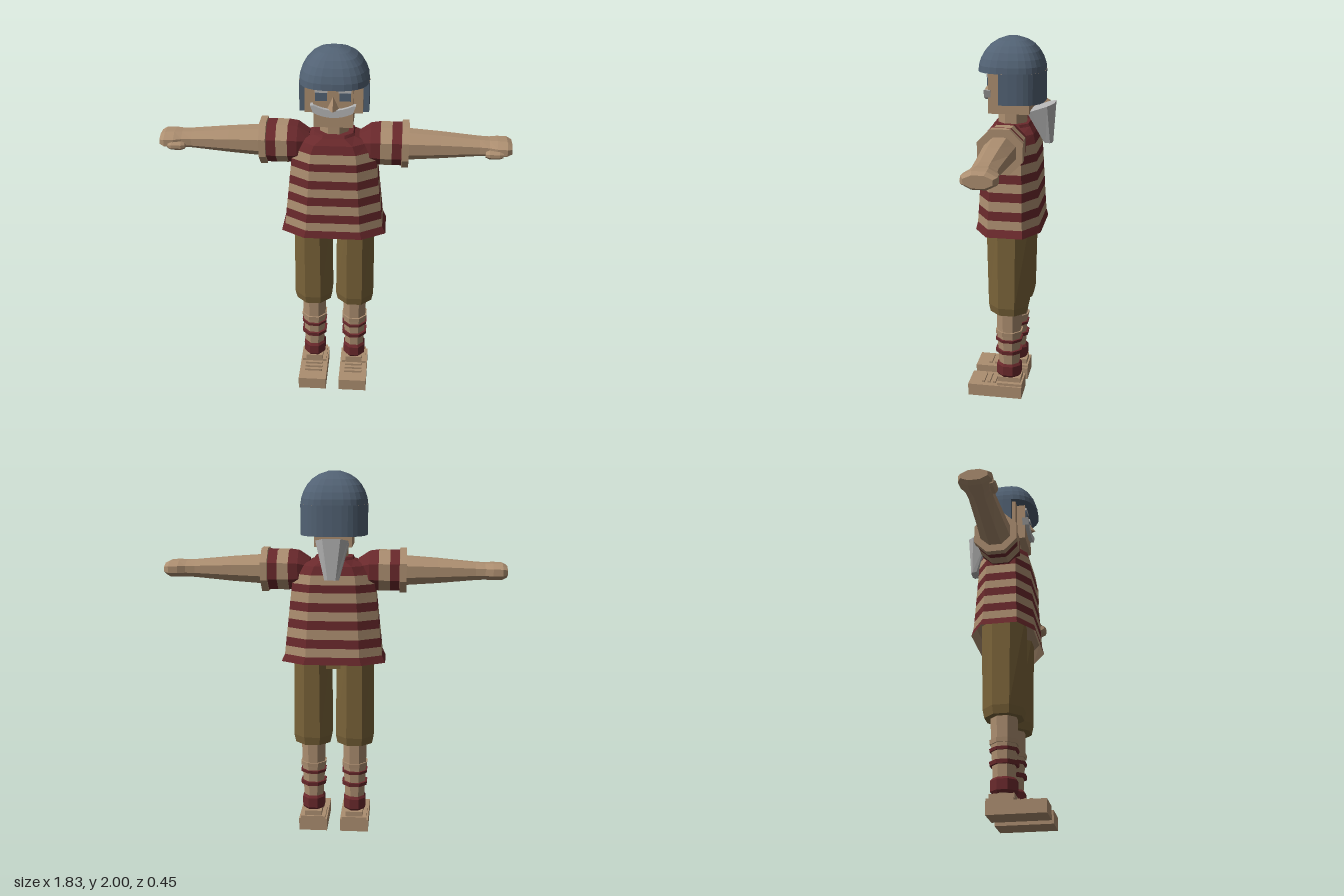
import * as THREE from 'three';

const paint = (name, color) => {
  const m = new THREE.MeshStandardMaterial({ color });
  m.name = name;
  return m;
};

// Eight-sided outline with chamfered corners; c is the half length of each flat side
const octagon = (c) => [[1, -c], [1, c], [c, 1], [-c, 1], [-1, c], [-1, -c], [-c, -1], [c, -1]];

// Point on a rounded square
const rounded = (a, p = 2.7) => [Math.cos(a), Math.sin(a)].map((v) => Math.sign(v) * Math.abs(v) ** (2 / p));

// Stacks scaled outlines along y; rows are [y, rx, rz, material, z offset, tilt]
function loft(name, outline, rows) {
  const rings = rows.map(([y, rx, rz, , cz = 0, tilt = 0]) =>
    outline.map(([x, z]) => [x * rx, y - tilt * z * rz, z * rz + cz]));
  const n = outline.length, pos = [], mats = [];
  const geo = new THREE.BufferGeometry();
  const group = (start, mat) => {
    if (!mats.includes(mat)) mats.push(mat);
    geo.addGroup(start, pos.length / 3 - start, mats.indexOf(mat));
  };
  const cap = (ring, up, row) => {
    const start = pos.length / 3, c = [0, row[0], row[4] || 0];
    for (let j = 0; j < n; j++) {
      const a = ring[j], b = ring[(j + 1) % n];
      pos.push(...c, ...(up ? b : a), ...(up ? a : b));
    }
    group(start, row[3]);
  };
  cap(rings[0], false, rows[0]);
  for (let i = 0; i < rings.length - 1; i++) {
    const start = pos.length / 3;
    for (let j = 0; j < n; j++) {
      const k = (j + 1) % n;
      const a = rings[i][j], b = rings[i][k], c = rings[i + 1][k], d = rings[i + 1][j];
      pos.push(...a, ...d, ...b, ...d, ...c, ...b);
    }
    group(start, rows[i][3]);
  }
  cap(rings.at(-1), true, rows.at(-1));
  geo.setAttribute('position', new THREE.Float32BufferAttribute(pos, 3));
  geo.computeVertexNormals();
  const mesh = new THREE.Mesh(geo, mats);
  mesh.name = name;
  return mesh;
}

function box(name, mat, w, h, d, x, y, z) {
  const mesh = new THREE.Mesh(new THREE.BoxGeometry(w, h, d), mat);
  mesh.position.set(x, y, z);
  mesh.name = name;
  return mesh;
}

export function createModel() {
  const tan = paint('tan', 0xac8e70);
  const red = paint('dark red', 0x6a292c);
  const olive = paint('olive', 0x7a6339);
  const blue = paint('slate blue', 0x526274);
  const grey = paint('light grey', 0xb6b6b6);
  const model = new THREE.Group();
  model.name = 'figure';
  const limb = octagon(0.414);

  // Striped shirt, with a recessed underside
  model.add(loft('shirt', octagon(0.55), [
    [1.04, 0.25, 0.15, tan],
    [0.99, 0.28, 0.175, red],
    [1.03, 0.262, 0.166, tan],
    [1.077, 0.257, 0.163, red],
    [1.125, 0.252, 0.16, tan],
    [1.177, 0.246, 0.157, red],
    [1.225, 0.241, 0.155, tan],
    [1.273, 0.236, 0.152, red],
    [1.32, 0.231, 0.15, tan],
    [1.373, 0.225, 0.147, red],
    [1.415, 0.22, 0.145, tan],
    [1.465, 0.21, 0.138, red],
    [1.51, 0.18, 0.125, red],
    [1.54, 0.105, 0.1, red],
    [1.555, 0.1, 0.09, red],
  ]));

  for (const s of [1, -1]) {
    const side = s > 0 ? 'left' : 'right';

    // Arm, built upright and laid out sideways
    const arm = new THREE.Group();
    arm.name = side + 'Arm';
    arm.add(loft('sleeve', limb, [
      [0.13, 0.06, 0.07, red],
      [0.19, 0.098, 0.1, red],
      [0.24, 0.105, 0.105, tan],
      [0.3, 0.105, 0.105, red],
      [0.35, 0.105, 0.105, tan],
      [0.352, 0.115, 0.115, tan],
      [0.387, 0.115, 0.115, tan],
    ]));
    arm.add(loft('forearmAndHand', limb, [
      [0.36, 0.077, 0.082, tan],
      [0.55, 0.064, 0.071, tan],
      [0.75, 0.046, 0.063, tan],
      [0.8, 0.043, 0.067, tan],
      [0.84, 0.045, 0.082, tan],
      [0.89, 0.043, 0.084, tan],
      [0.915, 0.03, 0.068, tan],
    ]));
    const thumb = loft('thumb', limb, [
      [0.78, 0.014, 0.012, tan],
      [0.8, 0.021, 0.021, tan],
      [0.85, 0.021, 0.021, tan],
      [0.87, 0.014, 0.014, tan],
    ]);
    thumb.position.set(s * 0.015, 0, 0.075);
    arm.add(thumb);
    arm.position.y = 1.48;
    arm.rotation.z = -s * Math.PI / 2;
    model.add(arm);

    // Leg: trouser, shin with sock bands, shoe
    const leg = new THREE.Group();
    leg.name = side + 'Leg';
    leg.position.x = s * 0.116;
    leg.add(loft('trouserLeg', limb, [
      [0.515, 0.096, 0.098, olive],
      [0.56, 0.105, 0.107, olive],
      [1.05, 0.1, 0.117, olive],
    ]));
    leg.add(loft('shin', limb, [
      [0.1, 0.045, 0.045, tan],
      [0.2, 0.053, 0.055, tan],
      [0.37, 0.062, 0.064, tan],
      [0.53, 0.065, 0.068, tan],
    ]));
    for (const [y, h, mat] of [[0.386, 0.024, tan], [0.343, 0.016, red], [0.273, 0.021, red]]) {
      leg.add(loft('sockBand', limb, [
        [y - h / 2, 0.068, 0.071, mat],
        [y + h / 2, 0.07, 0.073, mat],
      ]));
    }
    leg.add(loft('ankleBand', limb, [
      [0.117, 0.053, 0.058, red],
      [0.13, 0.061, 0.068, red],
      [0.185, 0.061, 0.068, red],
      [0.198, 0.053, 0.058, red],
    ]));
    leg.add(box('shoeSole', tan, 0.158, 0.07, 0.305, 0, 0.035, 0.0725));
    leg.add(box('shoeHeel', tan, 0.14, 0.02, 0.14, 0, 0.075, -0.01));
    leg.add(box('shoeCollar', tan, 0.096, 0.04, 0.13, 0, 0.093, -0.005));
    for (const z of [0.08, 0.112, 0.144]) leg.add(box('shoeLace', tan, 0.1, 0.018, 0.016, 0, 0.073, z));
    model.add(leg);
  }
  model.add(box('crotch', olive, 0.1, 0.09, 0.15, 0, 0.99, 0));

  // Neck and head
  model.add(loft('neck', limb, [[1.5, 0.075, 0.075, tan], [1.64, 0.072, 0.072, tan]]));
  model.add(box('head', tan, 0.2, 0.29, 0.215, 0, 1.755, 0.007));
  for (const s of [1, -1]) {
    model.add(box('eye', blue, 0.058, 0.042, 0.008, s * 0.06, 1.775, 0.117));
    model.add(box('eyebrow', grey, 0.064, 0.016, 0.01, s * 0.06, 1.806, 0.118));
    model.add(box('helmetPad', tan, 0.05, 0.16, 0.03, s * 0.123, 1.75, 0.053));
  }
  const noseGeo = new THREE.ConeGeometry(1, 0.07, 4).toNonIndexed();
  noseGeo.scale(0.032, 1, 0.045);
  noseGeo.computeVertexNormals();
  const nose = new THREE.Mesh(noseGeo, tan);
  nose.name = 'nose';
  nose.position.set(0, 1.743, 0.113);
  model.add(nose);

  // Curved moustache
  const lip = new THREE.Shape();
  lip.moveTo(-0.1, 1.695);
  lip.quadraticCurveTo(0, 1.645, 0.1, 1.695);
  lip.lineTo(0.115, 1.735);
  lip.lineTo(0.1, 1.735);
  lip.quadraticCurveTo(0, 1.685, -0.1, 1.735);
  lip.lineTo(-0.115, 1.735);
  const moustache = new THREE.Mesh(
    new THREE.ExtrudeGeometry(lip, { depth: 0.035, bevelEnabled: false, curveSegments: 8 }), grey);
  moustache.name = 'moustache';
  moustache.position.z = 0.1;
  model.add(moustache);

  // Helmet dome
  const outline = Array.from({ length: 28 }, (_, i) => rounded(i / 28 * Math.PI * 2));
  const profile = [[1.828, 0.178], [1.86, 0.175], [1.895, 0.163], [1.93, 0.143], [1.96, 0.116], [1.983, 0.08], [1.995, 0.045], [2, 0.03]];
  model.add(loft('helmetDome', outline, profile.map(([y, r]) => [y, r, r * 0.98, blue])));

  // Helmet wall around the back and sides, with a tan lower rim
  const arc = Array.from({ length: 21 }, (_, i) => rounded(Math.PI - 0.17 + i / 20 * (Math.PI + 0.34)));
  const wallShape = new THREE.Shape([
    ...arc.map(([x, z]) => new THREE.Vector2(x * 0.179, z * 0.175)),
    ...arc.toReversed().map(([x, z]) => new THREE.Vector2(x * 0.148, z * (z > 0 ? 0.175 : 0.145))),
  ]);
  const wallGeo = new THREE.ExtrudeGeometry(wallShape, { depth: 0.16, bevelEnabled: false });
  wallGeo.rotateX(Math.PI / 2);
  const wall = new THREE.Mesh(wallGeo, [tan, blue]);
  wall.name = 'helmetWall';
  wall.position.y = 1.83;
  model.add(wall);

  // Tied hair flaring up behind the neck
  model.add(loft('hairTail', octagon(0.55), [
    [1.45, 0.038, 0.022, grey, -0.192],
    [1.64, 0.085, 0.073, grey, -0.152, 0.34],
  ]));

  return model;
}
